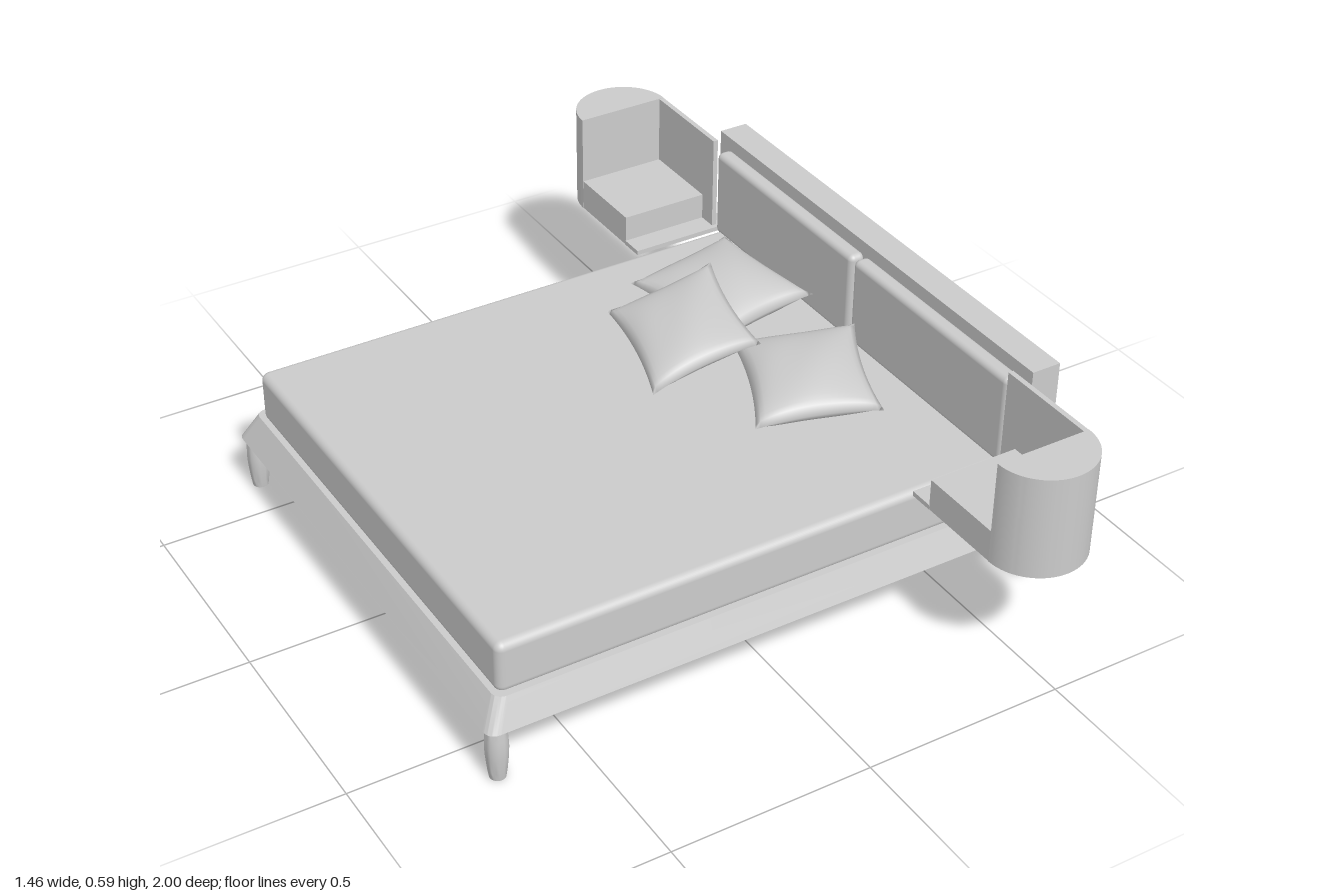
import * as THREE from 'three';
import { mergeVertices, toCreasedNormals } from 'three/addons/utils/BufferGeometryUtils.js';
import { RoundedBoxGeometry } from 'three/addons/geometries/RoundedBoxGeometry.js';

const material = new THREE.MeshStandardMaterial({ color: 0xcccccc });

function add(parent, name, geometry, x = 0, y = 0, z = 0) {
  const mesh = new THREE.Mesh(geometry, material);
  mesh.name = name;
  mesh.position.set(x, y, z);
  parent.add(mesh);
  return mesh;
}

// Box (optionally rounded) given by its limits on each axis
function block(parent, name, [x0, x1], [y0, y1], [z0, z1], radius = 0) {
  const size = [x1 - x0, y1 - y0, Math.abs(z1 - z0)];
  const geometry = radius
    ? new RoundedBoxGeometry(...size, 4, radius)
    : new THREE.BoxGeometry(...size);
  return add(parent, name, geometry, (x0 + x1) / 2, (y0 + y1) / 2, (z0 + z1) / 2);
}

// Floor-plan shape raised upwards
function raise(shape, height) {
  return new THREE.ExtrudeGeometry(shape, { depth: height, bevelEnabled: false, curveSegments: 24 })
    .rotateX(-Math.PI / 2);
}

// Platform with rounded foot corners, its sides leaning inwards to the top
function platformGeometry() {
  const back = -0.73, head = 0.66, half = 0.645, r = 0.03;
  const shape = new THREE.Shape();
  shape.moveTo(head, -half);
  shape.lineTo(head, half);
  shape.lineTo(back + r, half);
  shape.quadraticCurveTo(back, half, back, half - r);
  shape.lineTo(back, -half + r);
  shape.quadraticCurveTo(back, -half, back + r, -half);
  shape.closePath();
  const geometry = raise(shape, 0.07);
  const p = geometry.attributes.position;
  for (let i = 0; i < p.count; i++) {
    if (p.getY(i) < 0.035) continue;
    p.setX(i, head + (p.getX(i) - head) * (1.353 / 1.39));
    p.setZ(i, p.getZ(i) * (0.613 / 0.645));
  }
  return toCreasedNormals(geometry, 0.6);
}

// Pillow: a box pinched to a thin seam, with edges drawn in between the corners
function pillowGeometry(width, length, thickness) {
  const box = new THREE.BoxGeometry(2, 2, 2, 24, 1, 24);
  box.deleteAttribute('uv');
  box.deleteAttribute('normal');
  const p = box.attributes.position;
  for (let i = 0; i < p.count; i++) {
    const u = p.getX(i), v = p.getZ(i), side = Math.sign(p.getY(i));
    const puff = Math.pow(Math.max(0, (1 - u * u) * (1 - v * v)), 0.5);
    const crease = 0.025 * Math.sin(5 * u + 3 * v) * puff;
    p.setXYZ(i,
      u * (1 - 0.1 * (1 - v * v)) * width / 2,
      side * (puff + crease * side) * thickness / 2,
      v * (1 - 0.1 * (1 - u * u)) * length / 2);
  }
  const geometry = mergeVertices(box, 1e-5);
  geometry.computeVertexNormals();
  return geometry;
}

export function createModel() {
  const bed = new THREE.Group();
  bed.name = 'bed';

  add(bed, 'platform', platformGeometry(), 0, 0.14, 0);
  block(bed, 'headboard', [0.65, 0.725], [0.14, 0.59], [-0.645, 0.645]);
  block(bed, 'mattress', [-0.68, 0.638], [0.2, 0.333], [-0.597, 0.597], 0.02);

  // Turned legs
  const profile = [[0, 0], [0.019, 0], [0.022, 0.02], [0.026, 0.06], [0.027, 0.085],
    [0.026, 0.11], [0.023, 0.141], [0, 0.141]].map(([r, y]) => new THREE.Vector2(r, y));
  const legGeometry = toCreasedNormals(new THREE.LatheGeometry(profile, 24), 0.6);
  for (const x of [-0.697, 0.688])
    for (const z of [-0.613, 0.613]) add(bed, 'leg', legGeometry, x, 0, z);

  for (const s of [-1, 1]) {
    // Padded back cushion on this half of the headboard
    block(bed, 'backCushion', [0.612, 0.655], [0.325, 0.558], [s * 0.004, s * 0.605], 0.015);

    // Bedside unit: rounded end, back panel, drawer and base plate
    const unit = new THREE.Group();
    unit.name = s > 0 ? 'leftBedsideUnit' : 'rightBedsideUnit';
    bed.add(unit);
    const plan = new THREE.Shape();
    const start = s > 0 ? Math.PI : 0;
    plan.absarc(0.4975, 0, 0.1225, start, start + Math.PI, false);
    plan.closePath();
    add(unit, 'roundedEnd', toCreasedNormals(raise(plan, 0.26), 0.6), 0, 0.328, s * 0.8775);
    block(unit, 'backPanel', [0.607, 0.62], [0.328, 0.587], [s * 0.612, s * 0.88]);
    block(unit, 'drawer', [0.376, 0.61], [0.328, 0.408], [s * 0.66, s * 0.88]);
    block(unit, 'basePlate', [0.375, 0.652], [0.328, 0.34], [s * 0.6, s * 0.662]);
  }

  // Loose pillows: size, position, turn and lean towards the headboard
  const pillows = [
    { size: [0.3, 0.35, 0.1], at: [0.42, 0.388, -0.275], turn: 0.1, lean: 0.1 },
    { size: [0.3, 0.35, 0.1], at: [0.39, 0.385, 0.147], turn: -0.41, lean: 0.1 },
    { size: [0.28, 0.345, 0.085], at: [0.222, 0.418, -0.135], turn: -0.22, lean: 0.34 },
  ];
  for (const { size, at, turn, lean } of pillows) {
    const pillow = add(bed, 'pillow', pillowGeometry(...size), ...at);
    pillow.rotation.set(0, turn, lean, 'ZYX');
  }
  return bed;
}
